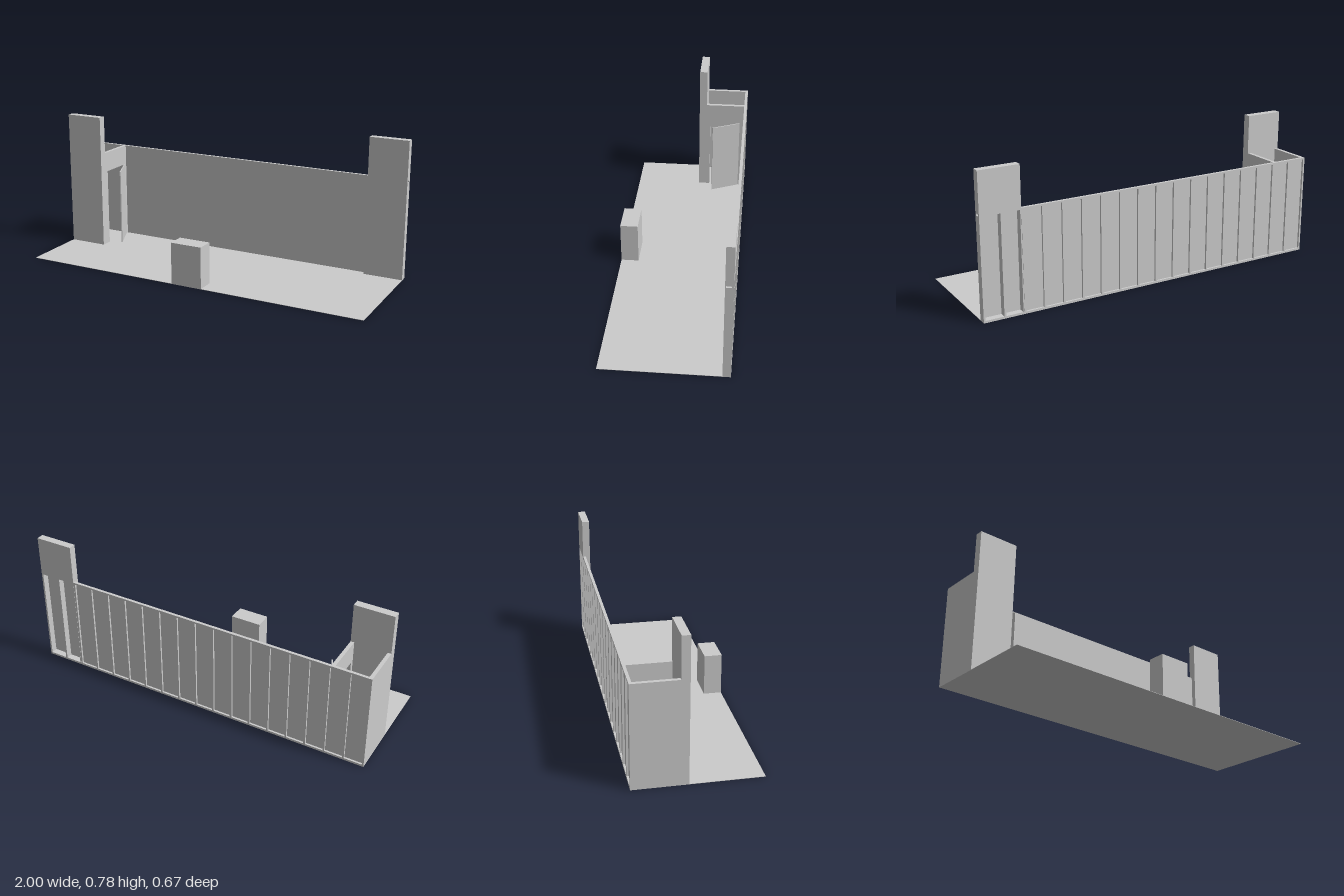
import * as THREE from 'three';

export function createModel() {
  const model = new THREE.Group();
  const mat = new THREE.MeshStandardMaterial({ color: 0xcccccc, flatShading: true, side: THREE.DoubleSide });

  // Box given by its min and max corners
  function block(name, x0, x1, y0, y1, z0, z1, parent = model) {
    const mesh = new THREE.Mesh(new THREE.BoxGeometry(x1 - x0, y1 - y0, z1 - z0), mat);
    mesh.position.set((x0 + x1) / 2, (y0 + y1) / 2, (z0 + z1) / 2);
    mesh.name = name;
    parent.add(mesh);
    return mesh;
  }

  const back = -0.333, front = 0.333, wallFront = -0.317, wallTop = 0.56, towerTop = 0.78;
  const panelBack = -0.322, towerX = 0.78, towerFront = -0.291, towerPanelBack = -0.296;

  // Stage floor
  block('floor', -1, 1, 0, 0.002, back, front);

  // Back wall: thin panel on an open timber frame
  const wall = new THREE.Group();
  wall.name = 'backWall';
  model.add(wall);
  block('wallPanel', -1, towerX, 0.002, wallTop, panelBack, wallFront, wall);
  block('topPlate', -1, 1, wallTop - 0.01, wallTop, back, panelBack, wall);
  block('bottomPlate', -1, towerX, 0.002, 0.012, back, panelBack, wall);
  const cells = 18, studW = 0.01;
  for (let i = 0; i <= cells; i++) {
    const x = -1 + studW / 2 + (i * (2 - studW)) / cells;
    const depth = x > towerX ? towerPanelBack : panelBack;
    block('stud', x - studW / 2, x + studW / 2, 0.012, wallTop - 0.01, back, depth, wall);
  }

  // Left tower: hollow behind its lower half, closed above the wall
  const tower = new THREE.Group();
  tower.name = 'leftTower';
  model.add(tower);
  block('towerPanel', towerX, 1, 0.002, wallTop, towerPanelBack, towerFront, tower);
  block('towerSide', towerX, towerX + 0.006, 0.002, wallTop, back, towerPanelBack, tower);
  block('towerBase', towerX, 1, 0.002, 0.012, back, towerPanelBack, tower);
  block('towerUpper', towerX, 1, wallTop, towerTop, back, towerFront, tower);

  // Right tower and the roofless room behind it
  block('rightTower', -1, -towerX, 0.002, towerTop, -0.09, -0.046);
  block('outerSideWall', -1, -0.98, 0.002, wallTop, wallFront, -0.09);

  // Inner room wall with a doorway, drawn in (-z, y) and turned to face +x
  const doorNear = 0.112, doorFar = 0.287, doorTop = 0.445;
  const outline = new THREE.Shape();
  [[0.09, 0.002], [doorNear, 0.002], [doorNear, doorTop], [doorFar, doorTop], [doorFar, 0.002],
    [-wallFront, 0.002], [-wallFront, wallTop], [0.09, wallTop]]
    .forEach(([u, v], i) => (i ? outline.lineTo(u, v) : outline.moveTo(u, v)));
  const doorWall = new THREE.Mesh(
    new THREE.ExtrudeGeometry(outline, { depth: 0.02, bevelEnabled: false }), mat);
  doorWall.rotation.y = Math.PI / 2;
  doorWall.position.x = -0.8;
  doorWall.name = 'doorwayWall';
  model.add(doorWall);

  // Door leaf standing ajar on its hinge
  const hinge = new THREE.Group();
  hinge.name = 'door';
  hinge.position.set(-towerX, 0, -0.29);
  hinge.rotation.y = Math.atan2(0.073, 0.16);
  block('doorLeaf', 0, 0.006, 0.004, doorTop, 0, 0.176, hinge);
  model.add(hinge);

  // Free-standing box at the front edge
  block('frontBox', -0.09, 0.09, 0.002, 0.235, 0.235, front);

  return model;
}
